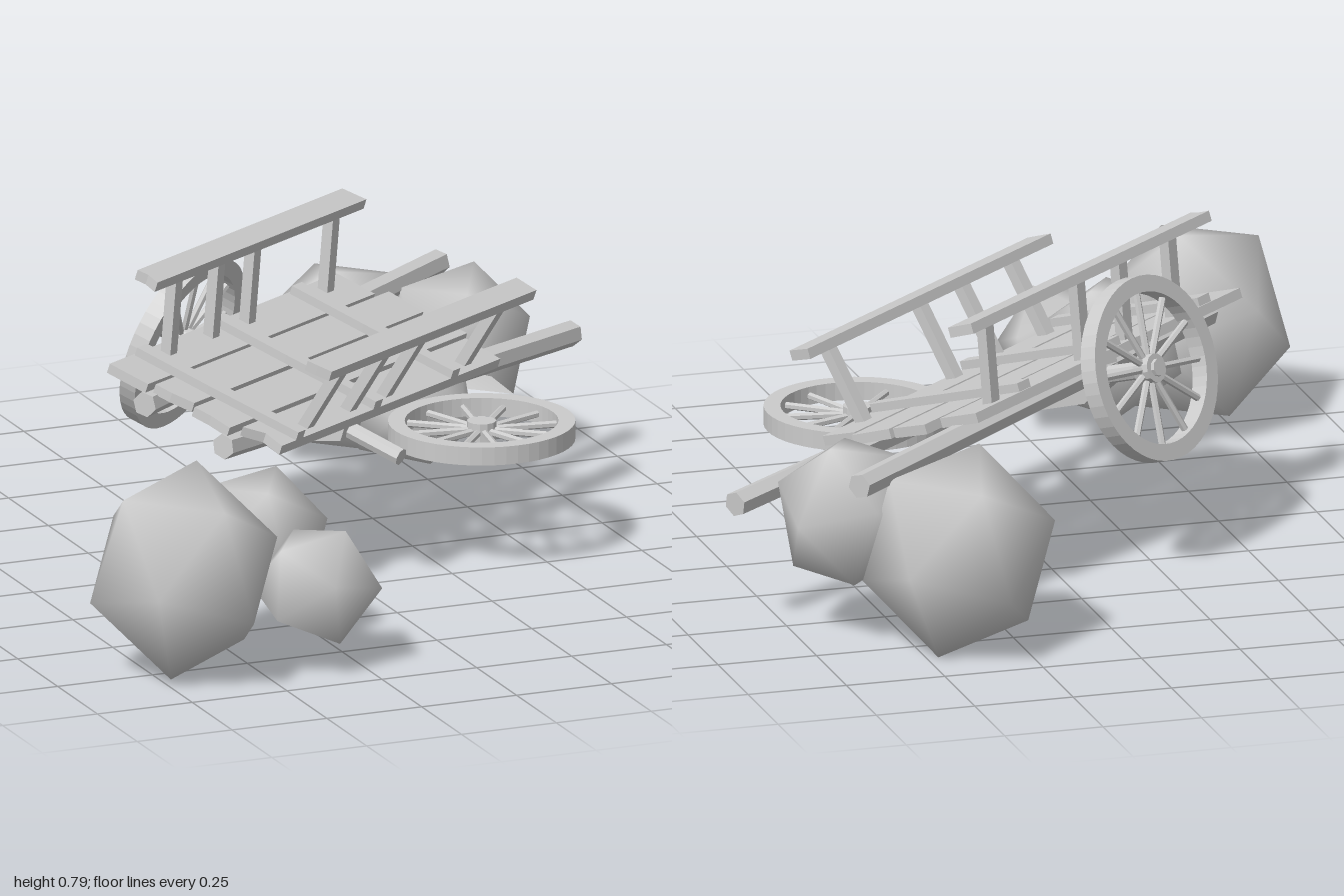
import * as THREE from 'three';
import { mergeVertices } from 'three/addons/utils/BufferGeometryUtils.js';

const stone = new THREE.MeshStandardMaterial({ color: 0xcccccc, side: THREE.DoubleSide });
const wood = new THREE.MeshStandardMaterial({ color: 0xcccccc, flatShading: true });
const V3 = (x, y, z) => new THREE.Vector3(x, y, z);

function add(parent, name, geometry, material = wood) {
  const mesh = new THREE.Mesh(geometry, material);
  mesh.name = name;
  parent.add(mesh);
  return mesh;
}

// straight piece of wood between two points
function stick(parent, name, a, b, geometry) {
  const mesh = add(parent, name, geometry);
  mesh.position.copy(a).add(b).multiplyScalar(0.5);
  mesh.quaternion.setFromUnitVectors(V3(0, 1, 0), b.clone().sub(a).normalize());
}

// board lying along x, with skewed ends and an optional split at the rear end
function plank(parent, name, x0, x1, z0, z1, y, t, skew = 0, split = 0) {
  const s = new THREE.Shape();
  s.moveTo(x0, -z0);
  s.lineTo(x0 + split, -(z0 + (z1 - z0) * 0.45));
  s.lineTo(x0 + skew, -z1);
  s.lineTo(x1, -z1);
  s.lineTo(x1 + skew, -z0);
  const g = new THREE.ExtrudeGeometry(s, { depth: t, bevelEnabled: false });
  add(parent, name, g.rotateX(-Math.PI / 2).translate(0, y - t / 2, 0));
}

// spoked wheel with its axis along z
function wheel(name) {
  const g = new THREE.Group();
  g.name = name;
  const ring = new THREE.Shape().absarc(0, 0, 0.228, 0, Math.PI * 2);
  ring.holes.push(new THREE.Path().absarc(0, 0, 0.187, 0, Math.PI * 2, true));
  const rim = new THREE.ExtrudeGeometry(ring, { depth: 0.046, bevelEnabled: false, curveSegments: 24 });
  add(g, 'rim', rim.translate(0, 0, -0.023));
  add(g, 'hub', new THREE.CylinderGeometry(0.036, 0.036, 0.046, 12).rotateX(Math.PI / 2));
  for (let i = 0; i < 12; i++) {
    const a = ((i + 0.3) / 12) * Math.PI * 2;
    const d = V3(Math.cos(a), Math.sin(a), 0);
    stick(g, 'spoke', d.clone().multiplyScalar(0.03), d.clone().multiplyScalar(0.19),
      new THREE.CylinderGeometry(0.009, 0.009, 0.16, 6));
  }
  return g;
}

// boulder: softly shaded twenty-sided stone fitted to a box, optionally open underneath
function boulder(parent, min, max, turn, open) {
  let g = new THREE.IcosahedronGeometry(1, 0);
  g.deleteAttribute('normal');
  g.deleteAttribute('uv');
  g = mergeVertices(g).rotateY(Math.PI / 2);
  g.applyMatrix4(new THREE.Matrix4().makeRotationFromEuler(new THREE.Euler(...turn)));
  g.computeBoundingBox();
  const lo = V3(...min), hi = V3(...max);
  const size = g.boundingBox.getSize(V3(0, 0, 0));
  const scale = hi.clone().sub(lo).divide(size);
  const mid = lo.add(hi).multiplyScalar(0.5);
  g.center().scale(scale.x, scale.y, scale.z).translate(mid.x, mid.y, mid.z);
  g.computeVertexNormals();
  if (open) {
    // leave out the faces that meet at the lowest corner
    const p = g.attributes.position;
    let low = 0;
    for (let i = 1; i < p.count; i++) if (p.getY(i) < p.getY(low)) low = i;
    const kept = [];
    for (let i = 0; i < g.index.count; i += 3) {
      const face = [0, 1, 2].map((k) => g.index.getX(i + k));
      if (!face.includes(low)) kept.push(...face);
    }
    g.setIndex(kept);
  }
  add(parent, 'boulder', g, stone);
}

function buildCart() {
  const cart = new THREE.Group();
  cart.name = 'cart';
  const mid = -0.027;

  // diverging shafts that carry the bed
  for (const s of [-1, 1]) {
    const a = V3(-0.475, 0.022, mid + s * 0.118);
    const b = V3(1.04, 0.022, mid + s * 0.2);
    stick(cart, 'shaft', a, b, new THREE.CylinderGeometry(0.032, 0.032, a.distanceTo(b), 6));
  }

  // bed boards: rear, front, inner and outer edge, skew, split
  const boards = [
    [-0.47, 0.6, -0.27, -0.155, 0, 0],
    [-0.45, 0.64, -0.145, -0.035, 0.01, 0],
    [-0.46, 0.65, -0.022, 0.09, -0.01, 0],
    [-0.43, 0.61, 0.104, 0.215, 0.01, 0.03],
  ];
  boards.forEach(([x0, x1, z0, z1, skew, split]) =>
    plank(cart, 'bedBoard', x0, x1, z0, z1, 0.06, 0.025, skew, split));
  for (const x of [-0.34, 0.025, 0.39]) {
    plank(cart, 'crossSlat', x - 0.02, x + 0.02, -0.265, 0.215, 0.083, 0.022, 0.006);
  }

  // side rails on outward leaning posts
  for (const s of [-1, 1]) {
    const z = mid + s * 0.255;
    plank(cart, 'sideRail', -0.385, 0.59, z - 0.033, z + 0.033, 0.277, 0.026, s * 0.01, 0.004);
    for (const x of [-0.25, -0.05, 0.12, 0.49]) {
      const a = V3(x, 0.05, mid + s * 0.2);
      const b = V3(x, 0.272, z);
      stick(cart, 'railPost', a, b, new THREE.BoxGeometry(0.032, a.distanceTo(b), 0.028));
    }
  }

  // axle beam with its bare stub on the right end
  const profile = [[-0.2, 0.045], [-0.2, -0.02], [-0.13, -0.055], [0.11, -0.055], [0.18, -0.02], [0.18, 0.045]];
  const s = new THREE.Shape(profile.map(([z, y]) => new THREE.Vector2(z, y)));
  const beam = new THREE.ExtrudeGeometry(s, { depth: 0.08, bevelEnabled: false });
  add(cart, 'axleBeam', beam.rotateY(-Math.PI / 2).translate(0.04, 0, 0));
  const axle = new THREE.CylinderGeometry(0.022, 0.022, 0.69, 8).rotateX(Math.PI / 2);
  add(cart, 'axle', axle.translate(0, 0, -0.015));
  const fixed = wheel('mountedWheel');
  fixed.position.z = -0.327;
  cart.add(fixed);

  // lean of the broken cart: long, up and side axes
  const u = V3(0.807, -0.045, -0.59).normalize();
  const n = V3(0.563, -0.3, 0.77).cross(u).normalize();
  const v = u.clone().cross(n);
  cart.quaternion.setFromRotationMatrix(new THREE.Matrix4().makeBasis(u, n, v));
  cart.position.set(-0.056, 0.402, -0.033);
  return cart;
}

export function createModel() {
  const model = new THREE.Group();
  model.name = 'brokenCartWithBoulders';
  model.add(buildCart());

  // wheel that has come off, lying flat
  const loose = wheel('looseWheel');
  loose.rotation.x = Math.PI / 2;
  loose.position.set(0.38, 0.316, 0.125);
  model.add(loose);

  // two heaps of boulders
  const rear = new THREE.Group();
  rear.name = 'rearBoulders';
  boulder(rear, [-0.9, 0.015, 0.54], [-0.45, 0.51, 0.995], [0.2, -0.15, -0.25], false);
  boulder(rear, [-0.57, 0.1, 0.45], [-0.26, 0.43, 0.77], [0.1, -0.47, -0.2], true);
  boulder(rear, [-0.5, 0.06, 0.71], [-0.215, 0.35, 0.985], [-0.15, 0.5, -0.15], true);
  const front = new THREE.Group();
  front.name = 'frontBoulders';
  boulder(front, [0.175, 0.0, -1.0], [0.62, 0.49, -0.56], [-0.2, -0.26, 0.2], false);
  boulder(front, [0.46, 0.13, -0.77], [0.78, 0.49, -0.43], [0.15, -0.45, -0.15], true);
  boulder(front, [0.3, 0.05, -0.65], [0.61, 0.34, -0.35], [-0.15, -0.1, 0.1], true);
  model.add(rear, front);
  return model;
}
